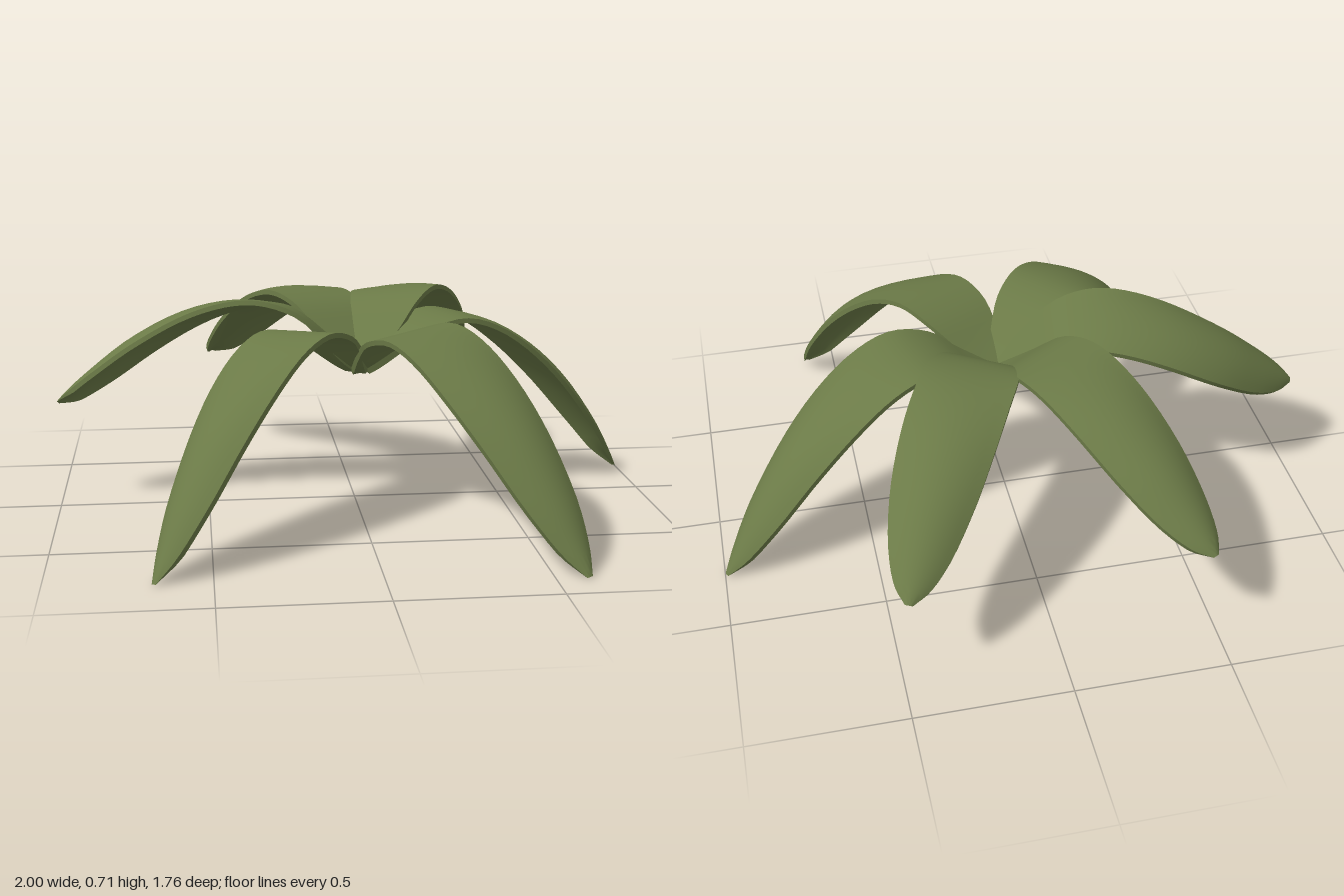
import * as THREE from 'three';
import { toCreasedNormals } from 'three/addons/utils/BufferGeometryUtils.js';

const STEPS = 32, ACROSS = 10, THICK = 0.016;
const CROWN = new THREE.Vector3(0.012, 0, 0.035);

// Stations along a leaf: distance from crown, height, half width
const LOWER = [
  [0, 0.485, 0.045], [0.09, 0.54, 0.09], [0.2, 0.607, 0.13], [0.32, 0.634, 0.143],
  [0.45, 0.605, 0.145], [0.6, 0.52, 0.141], [0.75, 0.39, 0.125], [0.9, 0.205, 0.092],
  [0.985, 0.075, 0.05], [1.03, 0.003, 0.01],
];
const UPPER = [
  [0, 0.495, 0.045], [0.09, 0.562, 0.095], [0.2, 0.648, 0.13], [0.3, 0.68, 0.146],
  [0.42, 0.682, 0.15], [0.58, 0.642, 0.147], [0.76, 0.55, 0.13], [0.9, 0.447, 0.096],
  [0.985, 0.378, 0.053], [1.022, 0.345, 0.012],
];

// A thin arched blade swept along its stations; roll twists it from base to tip,
// bend bows it sideways, and a bendBias above 1 moves the bow towards the tip
function leafGeometry({ stations, angle, bend = 0, bendBias = 1, roll = [0, 0] }) {
  const spline = new THREE.CatmullRomCurve3(stations.map((s) => new THREE.Vector3(...s)));
  const a = THREE.MathUtils.degToRad(angle);
  const out = new THREE.Vector3(Math.cos(a), 0, Math.sin(a));
  const level = new THREE.Vector3(-Math.sin(a), 0, Math.cos(a));
  const up = new THREE.Vector3(0, 1, 0);
  const reach = stations[stations.length - 1][0];

  const centre = (t) => {
    const p = spline.getPoint(t);
    const u = THREE.MathUtils.clamp(p.x / reach, 0, 1);
    return CROWN.clone().addScaledVector(out, p.x).addScaledVector(up, p.y)
      .addScaledVector(level, bend * Math.sin(Math.PI * u ** bendBias));
  };

  const ring = 2 * (ACROSS + 1);
  const positions = [], index = [];
  for (let i = 0; i <= STEPS; i++) {
    const t = i / STEPS;
    const mid = centre(t);
    const tangent = centre(Math.min(1, t + 0.01)).sub(centre(Math.max(0, t - 0.01))).normalize();
    const side = level.clone().addScaledVector(tangent, -level.dot(tangent)).normalize()
      .applyAxisAngle(tangent, -THREE.MathUtils.lerp(roll[0], roll[1], t));
    const normal = side.clone().cross(tangent);
    const half = Math.max(0.004, spline.getPoint(t).z);
    // Flat over the crest, arched towards the tip; thicker at the foot
    const arch = half * 0.36 * THREE.MathUtils.smoothstep(t, 0.3, 0.75);
    const foot = 0.025 * (1 - THREE.MathUtils.smoothstep(t, 0, 0.2));
    const thick = THICK * Math.min(1, (1 - t) * 8) + foot;
    for (let j = 0; j < ring; j++) {
      const top = j <= ACROSS;
      const u = ((top ? j : ring - 1 - j) / ACROSS) * 2 - 1;
      const p = mid.clone().addScaledVector(side, u * half)
        .addScaledVector(normal, arch * (0.15 - u * u) - (top ? 0 : thick));
      positions.push(p.x, Math.max(0, p.y), p.z);
    }
  }
  for (let i = 0; i < STEPS; i++) {
    for (let j = 0; j < ring; j++) {
      const k = (j + 1) % ring;
      const p = i * ring + j, q = i * ring + k;
      index.push(p, q, p + ring, q, q + ring, p + ring);
    }
  }
  // Close the cut end at the crown
  for (let j = 0; j < ACROSS; j++) {
    const b = ring - 1 - j;
    index.push(j, b, j + 1, b, b - 1, j + 1);
  }
  const geometry = new THREE.BufferGeometry();
  geometry.setAttribute('position', new THREE.Float32BufferAttribute(positions, 3));
  geometry.setIndex(index);
  return toCreasedNormals(geometry, Math.PI / 4);
}

export function createModel() {
  const model = new THREE.Group();
  model.name = 'leafRosette';
  const green = new THREE.MeshStandardMaterial({ color: 0x6b7a47 });
  green.name = 'leafGreen';

  const leaves = {
    lowerLeafLeft: { stations: LOWER, angle: -17, bend: 0.025, roll: [0, 0.06] },
    lowerLeafFrontLeft: { stations: LOWER, angle: 55, bend: 0.022, roll: [0, -0.25] },
    lowerLeafFrontRight: { stations: LOWER, angle: 132, bend: 0.02, roll: [0, -0.25] },
    upperLeafRight: { stations: UPPER, angle: 186, bend: 0.085, bendBias: 1.5, roll: [-0.03, -0.42] },
    upperLeafBackRight: { stations: UPPER, angle: 242, bend: 0.015, roll: [-0.1, 0] },
    upperLeafBackLeft: { stations: UPPER, angle: 297, roll: [0, 0.28] },
  };
  for (const [name, options] of Object.entries(leaves)) {
    const leaf = new THREE.Mesh(leafGeometry(options), green);
    leaf.name = name;
    model.add(leaf);
  }
  return model;
}
